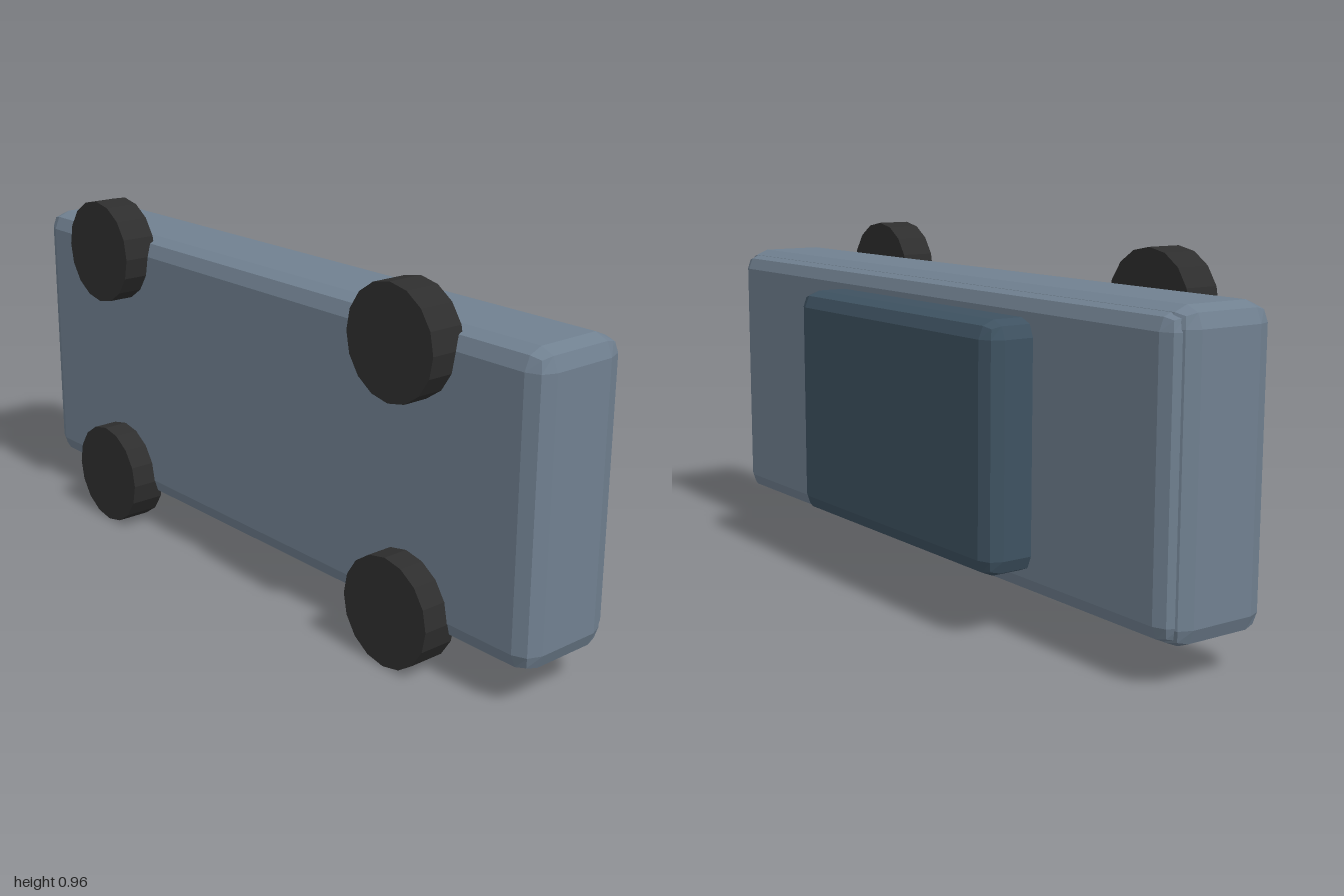
import * as THREE from 'three';
import { RoundedBoxGeometry } from 'three/addons/geometries/RoundedBoxGeometry.js';

export function createModel() {
  const paint = (name, color) => {
    const m = new THREE.MeshStandardMaterial({ color });
    m.name = name;
    m.flatShading = true;
    return m;
  };
  const bodyGrey = paint('body grey', 0x708090);
  const cabinBlue = paint('cabin dark blue', 0x3e5261);
  const tyreBlack = paint('tyre black', 0x2e2e2e);

  const model = new THREE.Group();
  model.name = 'toyCar';

  // Box with bevelled edges, given by its low and high corners
  const bevelBox = (name, lo, hi, radius, material) => {
    const size = hi.map((v, i) => v - lo[i]);
    const mesh = new THREE.Mesh(new RoundedBoxGeometry(...size, 1, radius), material);
    mesh.position.set(...lo.map((v, i) => (v + hi[i]) / 2));
    mesh.name = name;
    model.add(mesh);
  };

  // Main hull, slightly smaller upper deck and offset cabin
  bevelBox('hull', [-1, 0.097, -0.1], [1, 0.868, 0.178], 0.05, bodyGrey);
  bevelBox('deck', [-0.985, 0.108, -0.12], [0.985, 0.857, 0.1], 0.045, bodyGrey);
  bevelBox('cabin', [-0.503, 0.168, -0.248], [0.408, 0.797, -0.02], 0.045, cabinBlue);

  // Four wheels with axles along z
  const wheelGeometry = new THREE.CylinderGeometry(0.144, 0.144, 0.097, 16).rotateX(Math.PI / 2);
  for (const x of [-0.604, 0.602]) {
    for (const y of [0.144, 0.818]) {
      const wheel = new THREE.Mesh(wheelGeometry, tyreBlack);
      wheel.position.set(x, y, 0.2);
      wheel.name = 'wheel';
      model.add(wheel);
    }
  }
  return model;
}
